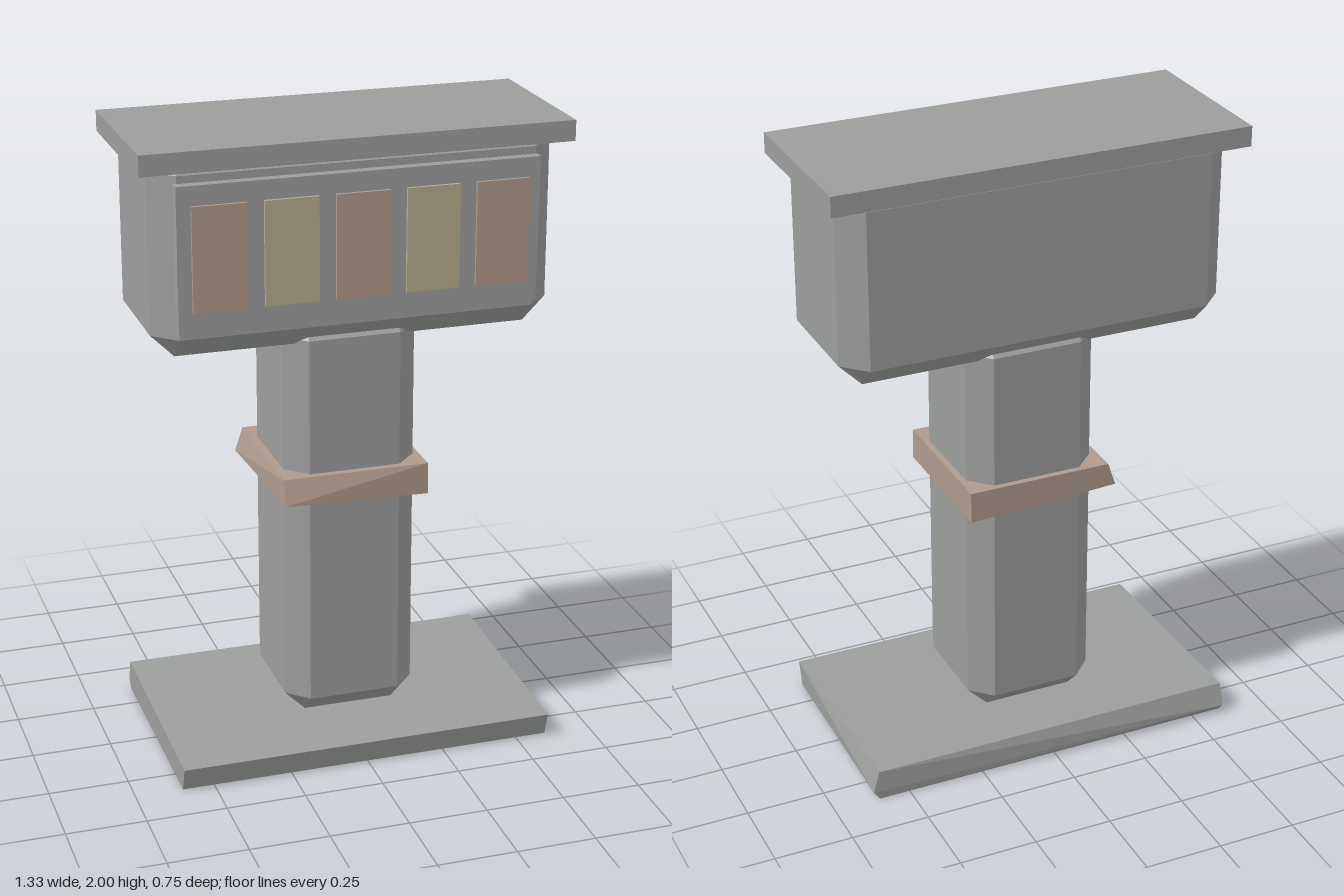
import * as THREE from 'three';
import { ConvexGeometry } from 'three/addons/geometries/ConvexGeometry.js';

const material = (name, color) => new THREE.MeshStandardMaterial({ name, color });

// Flat-faced solid around a handful of corners
const hull = (corners) => new ConvexGeometry(corners.map((c) => new THREE.Vector3(...c)));

// Box with every edge and corner cut back by b
function chamferedBox(w, h, d, b) {
  const x = w / 2, y = h / 2, z = d / 2, corners = [];
  for (const i of [-1, 1]) for (const j of [-1, 1]) for (const k of [-1, 1]) {
    corners.push(
      [i * x, j * (y - b), k * (z - b)],
      [i * (x - b), j * y, k * (z - b)],
      [i * (x - b), j * (y - b), k * z],
    );
  }
  return hull(corners);
}

export function createModel() {
  const model = new THREE.Group();
  model.name = 'pedestalConsole';
  const grey = material('stoneGrey', 0x9c9e9c);
  const clay = material('clayPink', 0xb09a8c);
  const sand = material('sandYellow', 0xb5ae8a);

  const add = (name, geometry, mat, x = 0, y = 0, z = 0) => {
    const mesh = new THREE.Mesh(geometry, mat);
    mesh.name = name;
    mesh.position.set(x, y, z);
    model.add(mesh);
  };

  // Uneven foot slab, with back corners pulled outward
  add('basePlate', hull([
    [-0.6, 0.1, -0.35], [0.6, 0.1, -0.35],
    [-0.6, 0.078, 0.374], [0.6, 0.078, 0.374],
    [-0.6, 0, 0.35], [0.6, 0, 0.35],
    [-0.6, 0, -0.35], [0.6, 0, -0.35],
    [-0.6, 0.028, -0.375], [0.62, 0.028, -0.352],
  ]), grey);

  // Column and its skewed collar
  add('column', chamferedBox(0.42, 1.33, 0.42, 0.066), grey, 0, 0.77, 0);
  add('collar', hull([
    [-0.235, 0.94, 0.232], [0.23, 0.94, 0.232],
    [-0.235, 0.94, -0.23], [0.23, 0.94, -0.23],
    [-0.235, 0.864, 0.26], [0.23, 0.84, 0.235],
    [-0.26, 0.864, -0.23], [0.23, 0.84, -0.23],
  ]), clay);

  // Head and roof slab
  add('head', chamferedBox(1.245, 0.64, 0.494, 0.072), grey, 0, 1.675, 0);
  add('roof', new THREE.BoxGeometry(1.33, 0.064, 0.548), grey, 0, 1.968, 0);

  // Front panel, thinning towards its lower back edge
  add('frontPanel', hull([
    [-0.56, 1.9, 0.278], [0.555, 1.9, 0.278],
    [-0.56, 1.455, 0.278], [0.55, 1.455, 0.278],
    [-0.56, 1.9, 0.244], [0.555, 1.9, 0.244],
    [-0.56, 1.455, 0.24], [0.555, 1.455, 0.24],
  ]), grey);

  // Row of alternating tiles
  for (let i = 0; i < 5; i++) {
    add(`tile${i + 1}`, new THREE.BoxGeometry(0.165, 0.32, 0.03), i % 2 ? sand : clay,
      (i - 2) * 0.2175, 1.68, 0.273);
  }
  return model;
}
